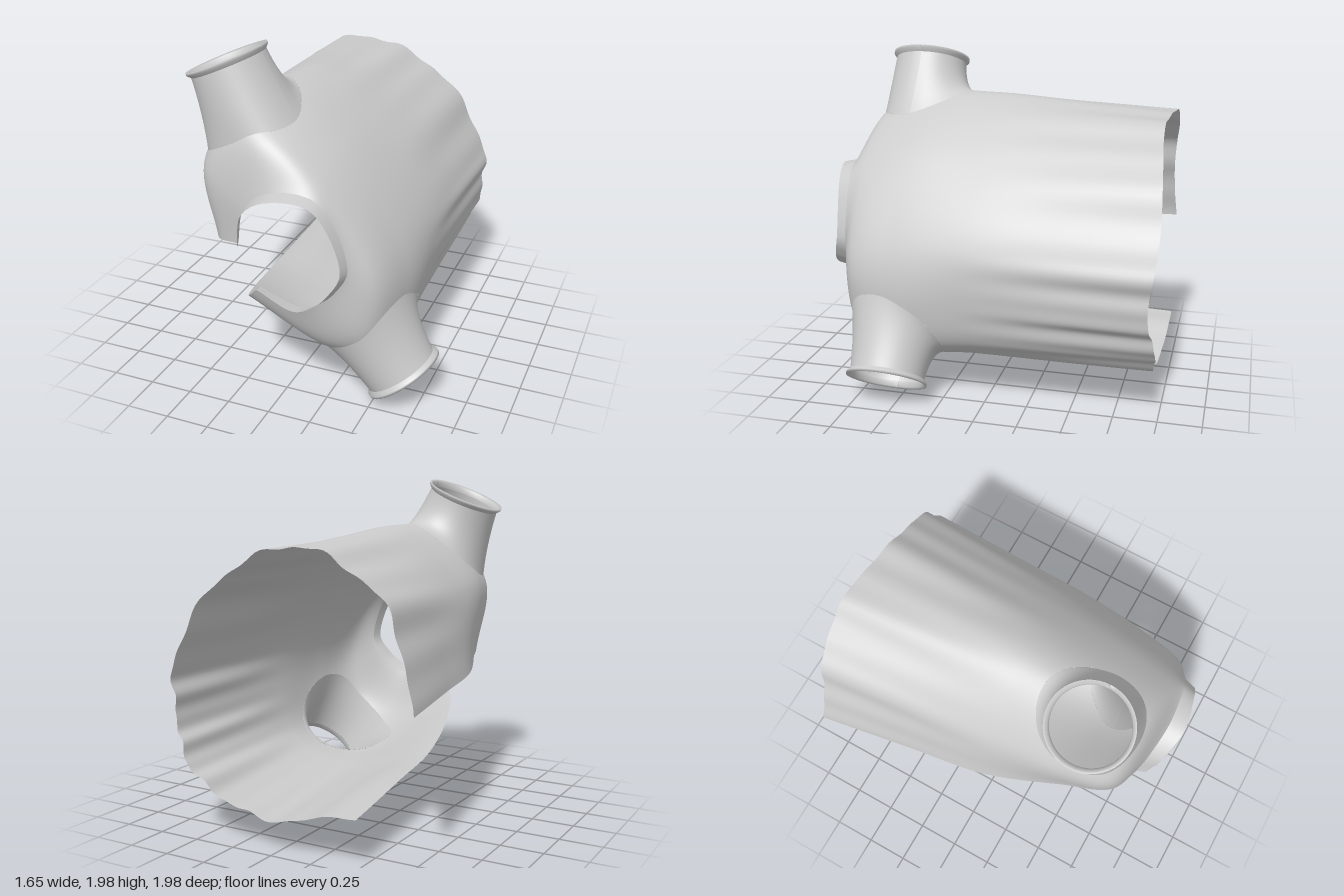
import * as THREE from 'three';

const SEAM = 8; // girth position u runs 0..8 from the upper flap, round the back, to the lower flap

// Neck opening: an elliptical arc, its edge dipping and rising in a wave
const NECK_ANGLES = [187, 143, 105, 61, -13, -37, -55, -77, -126];
const neckRing = (scale, z, wave) => NECK_ANGLES.map(deg => {
  const a = THREE.MathUtils.degToRad(deg);
  return new THREE.Vector3(.1 + .325 * scale * Math.cos(a), .98 + .33 * scale * Math.sin(a),
    z + wave * Math.cos(2 * a - 3.67));
});

// Torso cross-sections as x,y pairs
const section = (z, p) => Array.from({ length: SEAM + 1 }, (_, i) =>
  new THREE.Vector3(p[2 * i], p[2 * i + 1], z));
const shoulder = section(.78, [-.38,.91, -.44,1.32, -.19,1.58, .22,1.37, .53,.9, .56,.66, .48,.42, .26,.37, -.21,.58]);
const chest = section(.5, [-.5,.89, -.53,1.38, -.22,1.69, .22,1.46, .59,.93, .64,.6, .55,.33, .26,.24, -.32,.47]);
const waist = section(.07, [-.66,.87, -.56,1.38, -.18,1.71, .26,1.47, .63,.95, .65,.62, .56,.36, .22,.22, -.41,.37]);
const hem = section(-.96, [-.82,.84, -.64,1.4, -.2,1.64, .3,1.48, .66,.95, .65,.6, .5,.35, .15,.18, -.5,.29]);
const hip = waist.map((q, i) => q.clone().lerp(hem[i], .45));

const toCurve = points => new THREE.CatmullRomCurve3(points);
const rimCurve = toCurve(neckRing(.94, .95, .045));
const curves = [neckRing(1, .88, .025), shoulder, chest, waist, hip, hem].map(toCurve);
const LAST = curves.length - 1;

// Smooth line from neck to hem at girth position u
const lengthwise = u => toCurve(curves.map(c => c.getPoint(u / SEAM)));

// Point on the cloth, with folds that deepen toward the hem
function cloth(line, u, v) {
  const q = line.getPoint(v / LAST);
  const fade = THREE.MathUtils.smoothstep(v, 2.6, LAST);
  const fold = fade * (.011 * Math.sin(u * 8) + .006 * Math.sin(u * 15 + 1));
  const out = new THREE.Vector2(q.x, q.y - .9).normalize();
  return q.add(new THREE.Vector3(out.x * fold, out.y * fold, fade * .02 * Math.sin(u * 3)));
}

// Surface from a grid of points; keep(i, j) can leave quads out
function gridGeometry(cols, rows, point, keep = () => true) {
  const pos = [], index = [];
  for (let i = 0; i <= cols; i++)
    for (let j = 0; j <= rows; j++) pos.push(...point(i, j).toArray());
  for (let i = 0; i < cols; i++)
    for (let j = 0; j < rows; j++) {
      if (!keep(i, j)) continue;
      const a = i * (rows + 1) + j, b = a + rows + 1;
      index.push(a, b, a + 1, b, b + 1, a + 1);
    }
  const g = new THREE.BufferGeometry();
  g.setAttribute('position', new THREE.Float32BufferAttribute(pos, 3));
  g.setIndex(index);
  g.computeVertexNormals();
  return g;
}

// Armholes as ellipses on the cloth, and the cuffs they lead to
const SLEEVES = [
  { name: 'upperSleeve', u: 1.8, v: 1.72, ru: .74, rv: .9,
    centre: new THREE.Vector3(-.39, 1.87, .575), across: new THREE.Vector3(.205, .088, 0),
    axis: new THREE.Vector3(-.39, .92, 0) },
  { name: 'lowerSleeve', u: 6.05, v: 1.74, ru: 1.2, rv: .9,
    centre: new THREE.Vector3(.63, .155, .55), across: new THREE.Vector3(-.178, -.132, 0),
    axis: new THREE.Vector3(.59, -.81, 0) },
];
// Distance from an armhole's centre, 1 on its edge
const reach = (s, u, v) => Math.hypot((u - s.u) / s.ru, (v - s.v) / s.rv);

function sleeve(s, material) {
  const group = new THREE.Group();
  group.name = s.name;
  const cols = 48, rows = 12;
  const ring = (a, scale, offset) => s.centre.clone()
    .addScaledVector(s.across, Math.cos(a) * scale)
    .add(new THREE.Vector3(0, 0, -.225 * Math.sin(a) * scale))
    .addScaledVector(s.axis, offset);
  const angle = i => (i % cols) / cols * Math.PI * 2;

  // Tube flaring into the armhole
  const tube = gridGeometry(cols, rows, (i, j) => {
    const a = angle(i), u = s.u + s.ru * Math.cos(a), v = s.v + s.rv * Math.sin(a);
    const base = cloth(lengthwise(u), u, v);
    return new THREE.QuadraticBezierCurve3(base, ring(a, 1.03, -.2), ring(a, .96, 0)).getPoint(j / rows);
  });
  const tubeMesh = new THREE.Mesh(tube, material);
  tubeMesh.name = s.name + 'Tube';

  // Thin flared cuff lip
  const lip = [[.95, -.02], [1.05, .005], [1.05, .02], [.96, .012], [.94, -.02]];
  const cuff = new THREE.Mesh(
    gridGeometry(cols, lip.length - 1, (i, j) => ring(angle(i), ...lip[j])), material);
  cuff.name = s.name + 'Cuff';
  group.add(tubeMesh, cuff);
  return group;
}

export function createModel() {
  const model = new THREE.Group();
  model.name = 'openVest';
  const material = new THREE.MeshStandardMaterial({ color: 0xcccccc, side: THREE.DoubleSide });

  // Torso panel, split down one side; points just inside an armhole snap to its edge
  const cols = 160, rows = 90, snap = .9;
  const uAt = i => i / cols * SEAM, vAt = j => j / rows * LAST;
  const clear = (i, j) => SLEEVES.every(s => reach(s, uAt(i), vAt(j)) >= snap);
  const lines = Array.from({ length: cols + 1 }, (_, i) => lengthwise(uAt(i)));
  const torso = new THREE.Mesh(gridGeometry(cols, rows, (i, j) => {
    const u = uAt(i), v = vAt(j);
    const s = SLEEVES.find(o => reach(o, u, v) < 1 && reach(o, u, v) >= snap);
    if (!s) return cloth(lines[i], u, v);
    const r = reach(s, u, v), edgeU = s.u + (u - s.u) / r;
    return cloth(lengthwise(edgeU), edgeU, s.v + (v - s.v) / r);
  }, (i, j) => clear(i, j) && clear(i + 1, j) && clear(i, j + 1) && clear(i + 1, j + 1)), material);
  torso.name = 'torso';

  // Standing collar
  const collar = new THREE.Mesh(gridGeometry(cols, 3,
    (i, j) => curves[0].getPoint(i / cols).lerp(rimCurve.getPoint(i / cols), j / 3)), material);
  collar.name = 'collar';

  model.add(torso, collar, ...SLEEVES.map(s => sleeve(s, material)));
  return model;
}
